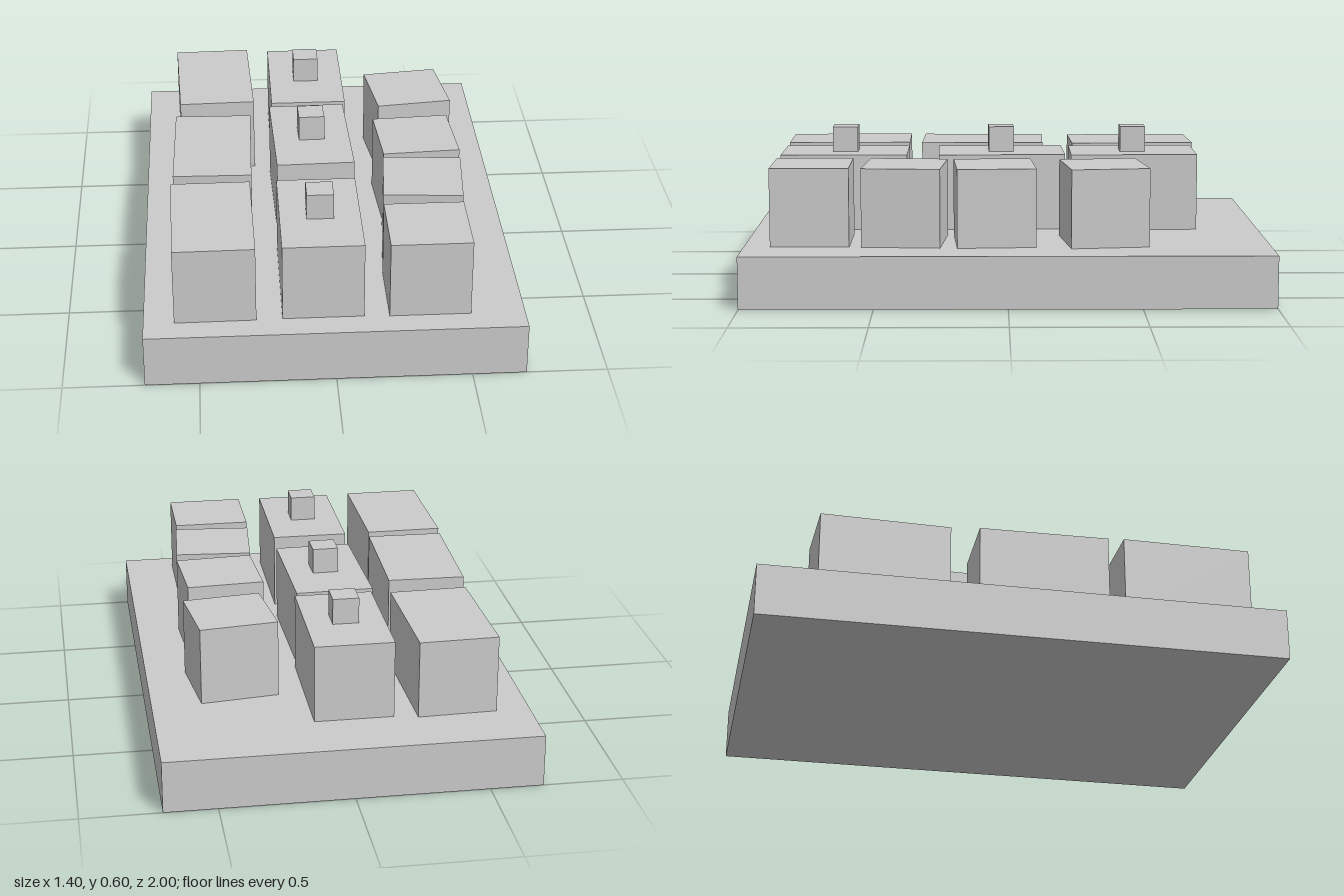
import * as THREE from 'three';

const material = new THREE.MeshStandardMaterial({ color: 0xcccccc, flatShading: true });

// Box standing on height y
function box(name, w, h, d, x, y, z, turn = 0) {
  const mesh = new THREE.Mesh(new THREE.BoxGeometry(w, h, d), material);
  mesh.name = name;
  mesh.position.set(x, y + h / 2, z);
  mesh.rotation.y = turn;
  return mesh;
}

export function createModel() {
  const model = new THREE.Group();
  model.name = 'blocksOnSlab';

  const baseTop = 0.2, blockHeight = 0.3;
  model.add(box('base', 1.4, baseTop, 2, 0, 0, 0));

  // Rows of blocks: [x, z, turn], back to front
  const rows = [
    { name: 'rightBlock', depth: 0.5, knob: false,
      places: [[-0.415, -0.52, 0.03], [-0.43, 0.095, -0.02], [-0.44, 0.65, 0.01]] },
    { name: 'middleBlock', depth: 0.5, knob: true,
      places: [[-0.035, -0.505, 0], [-0.04, 0.022, 0.025], [-0.042, 0.645, 0]] },
    { name: 'leftBlock', depth: 0.3, knob: false,
      places: [[0.38, -0.37, 0.12], [0.375, 0.05, 0.06], [0.367, 0.393, -0.08], [0.35, 0.75, 0]] },
  ];

  for (const { name, depth, knob, places } of rows) {
    places.forEach(([x, z, turn], i) => {
      model.add(box(name + (i + 1), 0.3, blockHeight, depth, x, baseTop, z, turn));
      // Small cube on top of each middle block
      if (knob) model.add(box('knob' + (i + 1), 0.1, 0.1, 0.1, x, baseTop + blockHeight, z, turn));
    });
  }
  return model;
}
